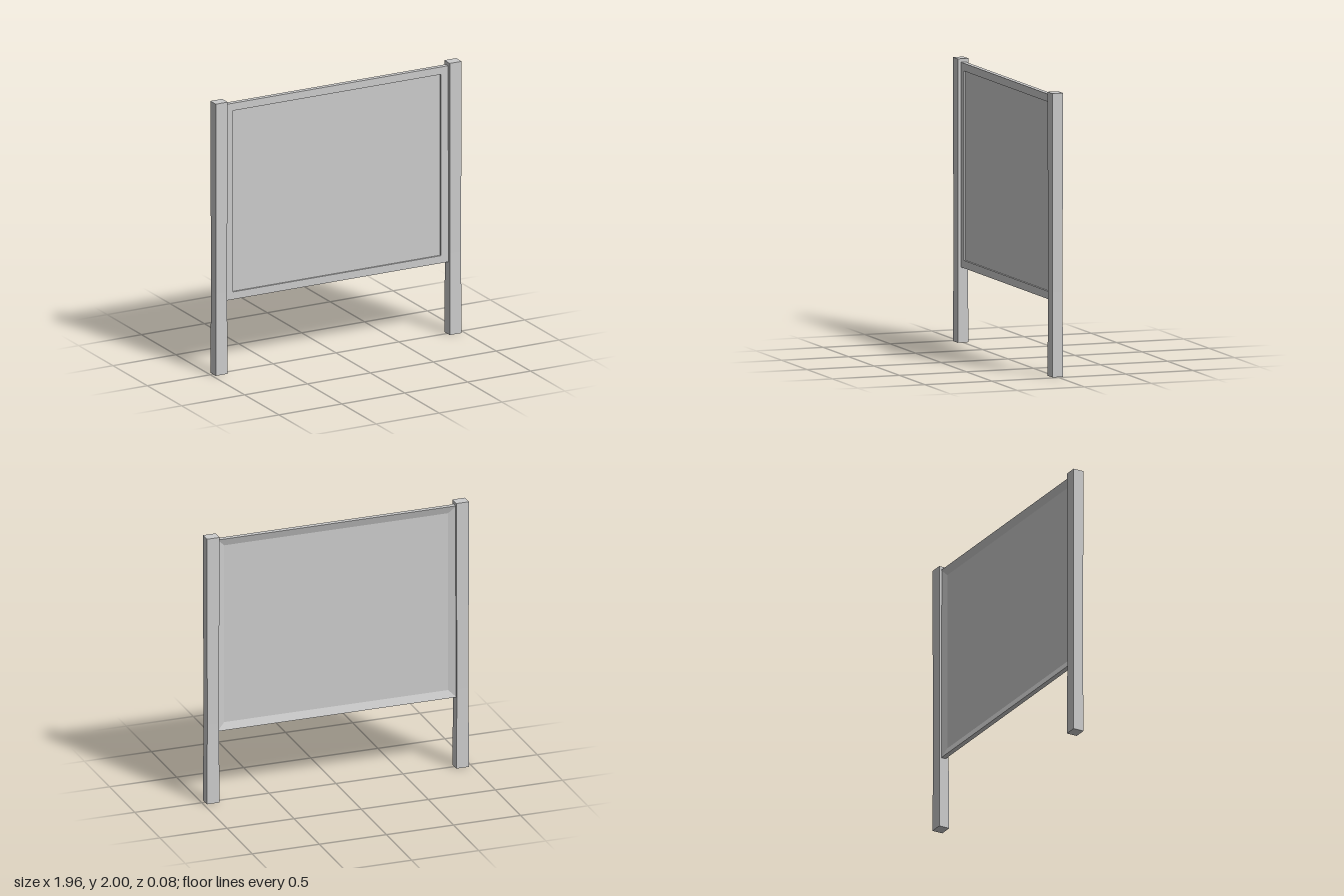
import * as THREE from 'three';

const material = new THREE.MeshStandardMaterial({ color: 0xcccccc, flatShading: true });

// Square post, slightly waisted at its middle ring
function makePost(name, x) {
  const geo = new THREE.BoxGeometry(0.095, 2, 0.08, 1, 2, 1);
  const pos = geo.attributes.position;
  for (let i = 0; i < pos.count; i++) {
    if (Math.abs(pos.getY(i)) < 0.01) {
      pos.setXYZ(i, pos.getX(i) * 0.9, -0.4, pos.getZ(i) * 0.94);
    }
  }
  geo.computeVertexNormals();
  const post = new THREE.Mesh(geo, material);
  post.name = name;
  post.position.set(x, 1, 0);
  return post;
}

// Solid skinned over rectangular rings [halfWidth, halfHeight, z], front to back
function skinRings(rings) {
  const corners = rings.map(([w, h, z]) => [[-w, -h, z], [w, -h, z], [w, h, z], [-w, h, z]]);
  const out = [];
  const quad = (a, b, c, d) => out.push(...a, ...b, ...c, ...a, ...c, ...d);
  quad(...corners[0]);
  for (let r = 0; r < corners.length - 1; r++) {
    const a = corners[r], b = corners[r + 1];
    for (let i = 0; i < 4; i++) {
      const j = (i + 1) % 4;
      quad(a[i], b[i], b[j], a[j]);
    }
  }
  quad(...corners[corners.length - 1].slice().reverse());
  const geo = new THREE.BufferGeometry();
  geo.setAttribute('position', new THREE.Float32BufferAttribute(out, 3));
  geo.computeVertexNormals();
  return geo;
}

export function createModel() {
  const group = new THREE.Group();
  group.name = 'signBoard';

  // Posts
  group.add(makePost('leftPost', 0.93), makePost('rightPost', -0.93));

  // Board: recessed front face, flat border, thin edge, sloped tray at the back
  const board = new THREE.Mesh(skinRings([
    [0.827, 0.667, 0.002],
    [0.827, 0.667, 0.014],
    [0.89, 0.722, 0.014],
    [0.89, 0.722, -0.022],
    [0.835, 0.667, -0.003],
  ]), material);
  board.name = 'board';
  board.position.y = 1.253;
  group.add(board);

  return group;
}
